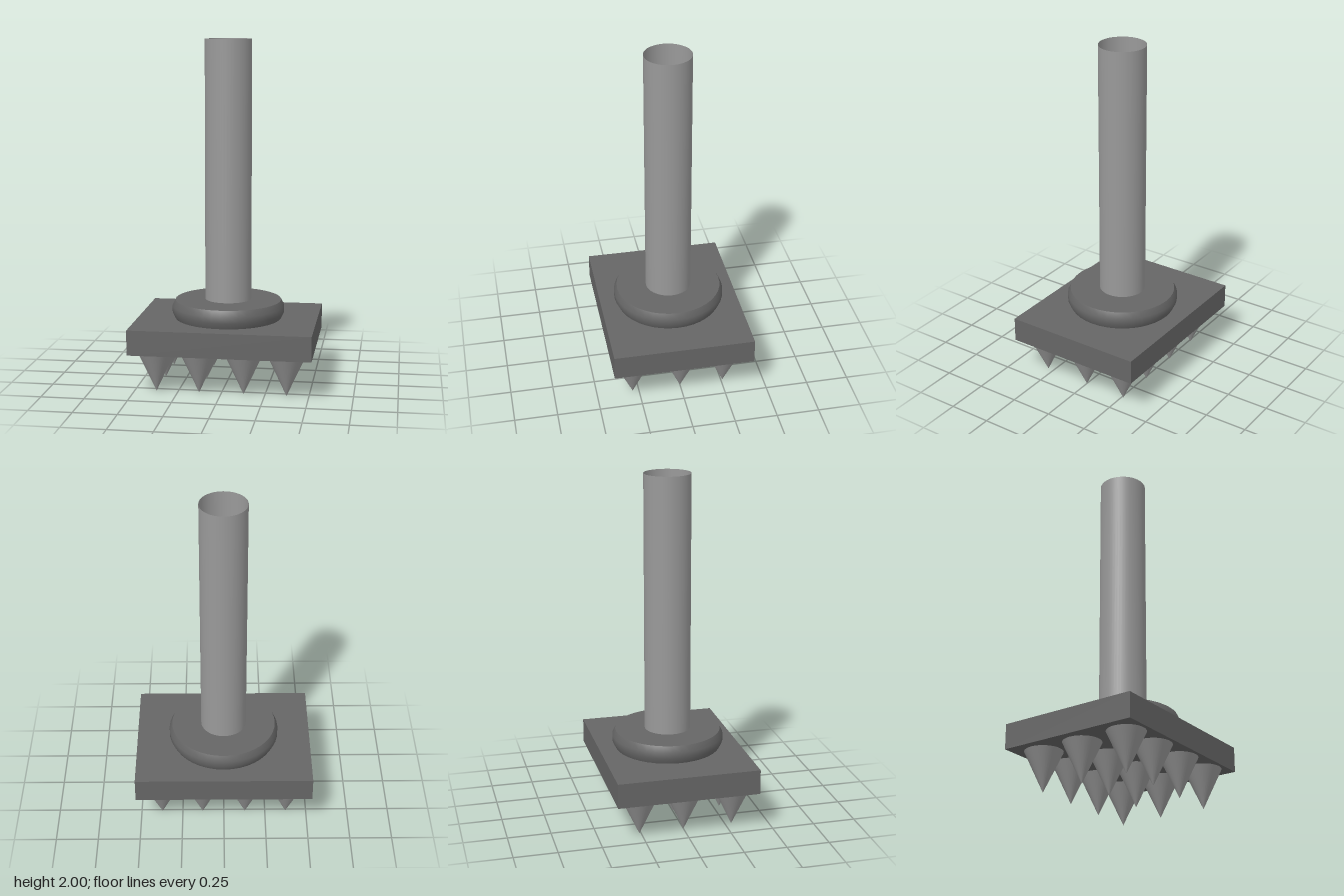
import * as THREE from 'three';

export function createModel() {
  const group = new THREE.Group();
  const dark = new THREE.MeshStandardMaterial({ color: 0x666666 });
  const light = new THREE.MeshStandardMaterial({ color: 0x999999 });
  const lightOpen = new THREE.MeshStandardMaterial({ color: 0x999999, side: THREE.DoubleSide });

  function add(name, geometry, material, x, y, z) {
    const mesh = new THREE.Mesh(geometry, material);
    mesh.name = name;
    mesh.position.set(x, y, z);
    group.add(mesh);
  }

  // Hollow, open-topped handle
  add('handle', new THREE.CylinderGeometry(0.135, 0.135, 1.51, 48, 1, true), lightOpen, 0, 1.245, 0);

  // Collar: bulging rim between two flat discs
  const low = 0.38, high = 0.487, edge = 0.31;
  const rim = [[edge, low], [0.327, 0.415], [0.327, 0.452], [edge, high]]
    .map(([r, y]) => new THREE.Vector2(r, y));
  add('collarRim', new THREE.LatheGeometry(rim, 40), dark, 0, 0, 0);
  const disc = new THREE.CircleGeometry(edge, 40);
  add('collarTop', disc.clone().rotateX(-Math.PI / 2), dark, 0, high, 0);
  add('collarBottom', disc.clone().rotateX(Math.PI / 2), dark, 0, low, 0);

  // Rectangular head plate
  add('plate', new THREE.BoxGeometry(1.044, 0.145, 0.824), dark, 0, 0.3075, 0);

  // Grid of downward spikes
  const spike = new THREE.ConeGeometry(0.108, 0.232, 32).rotateX(Math.PI);
  for (const x of [-0.375, -0.128, 0.128, 0.373]) {
    for (const z of [-0.26, 0, 0.287]) add('spike', spike, light, x, 0.116, z);
  }

  return group;
}
